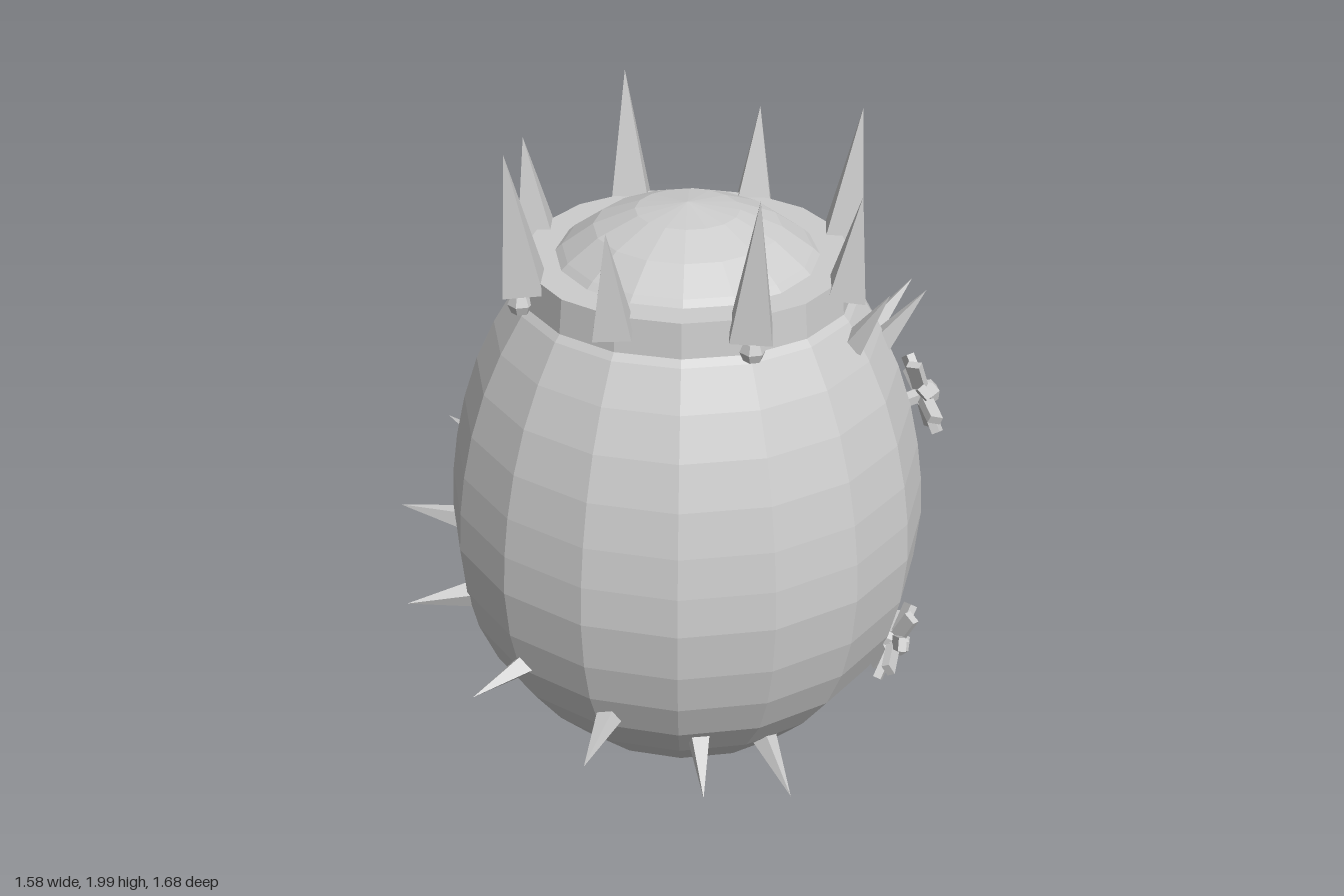
import * as THREE from 'three';

// Egg axis and profile as [radius, height] from the bottom up
const CX = 0.075, CZ = -0.015;
const PROFILE = [
  [0, 0.01], [0.285, 0.07], [0.41, 0.145], [0.515, 0.25], [0.61, 0.375], [0.665, 0.5],
  [0.697, 0.63], [0.712, 0.78], [0.706, 0.9], [0.69, 1.02], [0.662, 1.15], [0.62, 1.28],
  [0.565, 1.4], [0.5, 1.51], [0.43, 1.585], [0.36, 1.65], [0.27, 1.715], [0.15, 1.765], [0, 1.787],
];

function radiusAt(y) {
  for (let i = 1; i < PROFILE.length; i++) {
    const [r0, y0] = PROFILE[i - 1], [r1, y1] = PROFILE[i];
    if (y <= y1) return r0 + (r1 - r0) * (y - y0) / (y1 - y0);
  }
  return 0;
}

// Point at an angle in degrees (0 = +x, 90 = +z) around the egg axis
function around(deg, r, y) {
  const a = THREE.MathUtils.degToRad(deg);
  return new THREE.Vector3(CX + r * Math.cos(a), y, CZ + r * Math.sin(a));
}

export function createModel() {
  const model = new THREE.Group();
  const stone = new THREE.MeshStandardMaterial({ color: 0xcccccc, flatShading: true });

  function add(parent, name, geometry) {
    const mesh = new THREE.Mesh(geometry, stone);
    mesh.name = name;
    parent.add(mesh);
    return mesh;
  }

  function lathe(name, points) {
    const mesh = add(model, name, new THREE.LatheGeometry(points.map(p => new THREE.Vector2(...p)), 16));
    mesh.position.set(CX, 0, CZ);
  }

  // Four-sided spike between two points
  function spike(name, base, tip, radius) {
    const dir = tip.clone().sub(base);
    const mesh = add(model, name, new THREE.ConeGeometry(radius, dir.length(), 4));
    mesh.position.copy(base).add(tip).multiplyScalar(0.5);
    mesh.quaternion.setFromUnitVectors(new THREE.Vector3(0, 1, 0), dir.normalize());
  }

  // Egg body and crown band
  lathe('eggBody', PROFILE);
  lathe('crownBand', [[0.44, 1.53], [0.483, 1.53], [0.473, 1.632], [0.36, 1.632]]);

  // Crown spikes, alternately tall with a gem and short
  for (let i = 0; i < 8; i++) {
    const deg = 22.5 + 45 * i, tall = i % 2 === 0;
    spike('crownSpike', around(deg, 0.487, 1.595), around(deg, tall ? 0.536 : 0.525, tall ? 2 : 1.895), tall ? 0.082 : 0.075);
    if (tall) {
      const gem = add(model, 'crownGem', new THREE.SphereGeometry(0.037, 6, 4));
      gem.position.copy(around(deg, 0.502, 1.55));
    }
  }

  // Thorns winding once around the egg from low to high
  for (let i = 0; i < 14; i++) {
    const deg = 14 + 25 * i, y = 0.23 + 0.095 * i, r = radiusAt(y);
    const base = around(deg, r, y);
    const dir = base.clone().sub(new THREE.Vector3(CX, 0.59, CZ)).normalize();
    spike('thorn', base.clone().addScaledVector(dir, -0.02), base.clone().addScaledVector(dir, 0.185), 0.04);
  }

  // Flower: faceted heart with twisted block petals, facing away from the egg
  function flower(deg, y, size, petals, lift, petalWidth, slope) {
    const group = new THREE.Group();
    group.name = 'flower';
    const normal = around(deg, 1, slope).sub(new THREE.Vector3(CX, 0, CZ)).normalize();
    group.position.copy(around(deg, radiusAt(y), y)).addScaledVector(normal, lift);
    group.lookAt(group.position.clone().add(normal));
    const heart = add(group, 'flowerHeart', new THREE.SphereGeometry(0.04, 6, 4));
    heart.position.z = 0.015;
    const stem = add(group, 'flowerStem', new THREE.CylinderGeometry(0.025, 0.025, lift + 0.03, 6));
    stem.rotation.x = Math.PI / 2;
    stem.position.z = -lift / 2;
    for (let i = 0; i < petals; i++) {
      const arm = new THREE.Group();
      arm.name = 'petalArm';
      arm.rotation.z = (i + 0.3) / petals * Math.PI * 2;
      const length = size - 0.03;
      const petal = add(arm, 'petal', new THREE.BoxGeometry(length, petalWidth, 0.025));
      petal.position.x = 0.03 + length / 2;
      petal.rotation.x = i % 2 ? 0.35 : 0.9;
      group.add(arm);
    }
    model.add(group);
  }
  flower(-56, 1.1, 0.125, 8, 0.05, 0.042, 0.35);
  flower(-40, 0.37, 0.125, 8, 0.05, 0.042, -0.45);
  flower(-107, 0.54, 0.2, 7, 0.09, 0.085, -0.2);

  return model;
}
